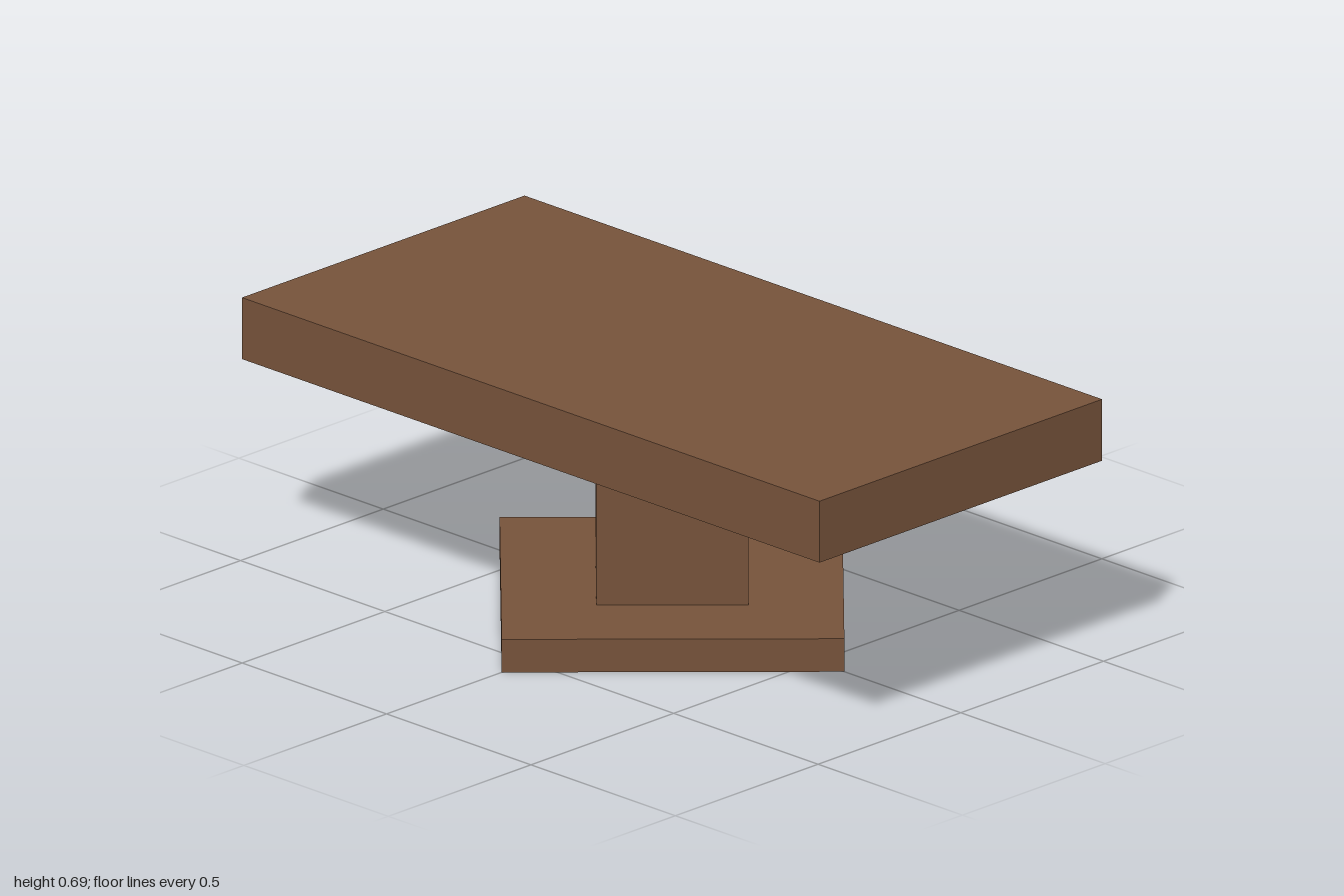
import * as THREE from 'three';

export function createModel() {
  const group = new THREE.Group();
  const wood = new THREE.MeshStandardMaterial({ color: 0x75523a });
  wood.name = 'brown wood';

  // Adds a box resting between two heights
  function addSlab(name, width, depth, bottom, top, turn = 0) {
    const mesh = new THREE.Mesh(new THREE.BoxGeometry(width, top - bottom, depth), wood);
    mesh.name = name;
    mesh.position.y = (bottom + top) / 2;
    mesh.rotation.y = turn;
    group.add(mesh);
  }

  // Square foot and column stand diagonally under the top
  const baseSide = 0.597 * Math.SQRT2;
  const columnSide = 0.265 * Math.SQRT2;
  addSlab('base', baseSide, baseSide, 0, 0.087, Math.PI / 4);
  addSlab('column', columnSide, columnSide, 0.087, 0.53, Math.PI / 4);
  addSlab('tableTop', 2, 0.99, 0.53, 0.692);

  return group;
}
